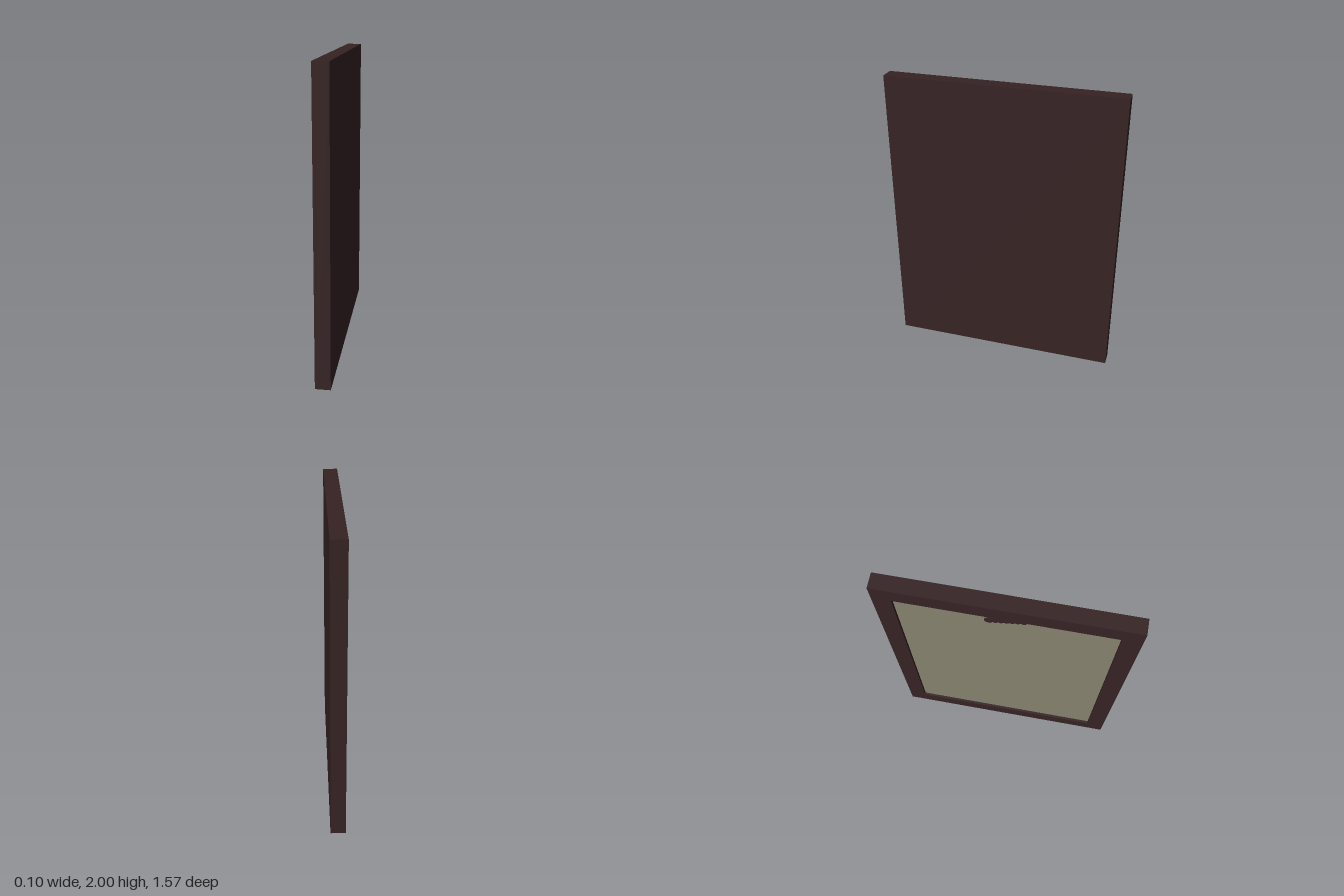
import * as THREE from 'three';

const HEIGHT = 2, WIDTH = 1.565, DEPTH = 0.1;
const BORDER = 0.12, RECESS = 0.02;

// Extrudes a profile drawn in (z, y) towards -x, starting at the given x
function extrudeBack(shape, startX, depth) {
  const g = new THREE.ExtrudeGeometry(shape, { depth, bevelEnabled: false, curveSegments: 8 });
  g.rotateY(-Math.PI / 2);
  g.translate(startX, 0, 0);
  return g;
}

function rectangle(PathType, halfWidth, bottom, top) {
  return new PathType([
    [-halfWidth, bottom], [halfWidth, bottom], [halfWidth, top], [-halfWidth, top],
  ].map(([z, y]) => new THREE.Vector2(z, y)));
}

export function createModel() {
  const model = new THREE.Group();
  model.name = 'framedPanel';

  const darkWood = new THREE.MeshStandardMaterial({ color: 0x362324 });
  darkWood.name = 'dark wood';
  const greyBoard = new THREE.MeshStandardMaterial({ color: 0x87826f });
  greyBoard.name = 'grey board';

  const add = (name, geometry, material) => {
    const mesh = new THREE.Mesh(geometry, material);
    mesh.name = name;
    model.add(mesh);
    return mesh;
  };

  const floorX = -DEPTH / 2 + RECESS;
  const innerHalf = WIDTH / 2 - BORDER;

  // Plain slab
  const slab = new THREE.BoxGeometry(DEPTH - RECESS, HEIGHT, WIDTH);
  slab.translate(RECESS / 2, HEIGHT / 2, 0);
  add('slab', slab, darkWood);

  // Raised border around the recess
  const border = rectangle(THREE.Shape, WIDTH / 2, 0, HEIGHT);
  border.holes.push(rectangle(THREE.Path, innerHalf, BORDER, HEIGHT - BORDER));
  add('backBorder', extrudeBack(border, floorX, RECESS), darkWood);

  // Board lining the recess
  const board = rectangle(THREE.Shape, innerHalf, BORDER, HEIGHT - BORDER);
  add('backingBoard', extrudeBack(board, floorX, 0.003), greyBoard);

  // Tilted toothed hanger with rounded ends, tucked under the top border
  const half = 0.1, radius = 0.03, teeth = 6;
  const hanger = new THREE.Shape();
  hanger.moveTo(half, -radius);
  hanger.absarc(half, 0, radius, -Math.PI / 2, Math.PI / 2, false);
  hanger.lineTo(-half, radius);
  hanger.absarc(-half, 0, radius, Math.PI / 2, Math.PI * 1.5, false);
  const pitch = (half * 2) / teeth;
  for (let i = 0; i < teeth; i++) {
    hanger.lineTo(-half + pitch * (i + 0.5), -radius + 0.012);
    if (i < teeth - 1) hanger.lineTo(-half + pitch * (i + 1), -radius);
  }
  const hangerMesh = add('hanger', extrudeBack(hanger, floorX - 0.003, 0.006), darkWood);
  hangerMesh.position.y = HEIGHT - BORDER - 0.042;
  hangerMesh.rotation.x = -0.26;

  return model;
}
